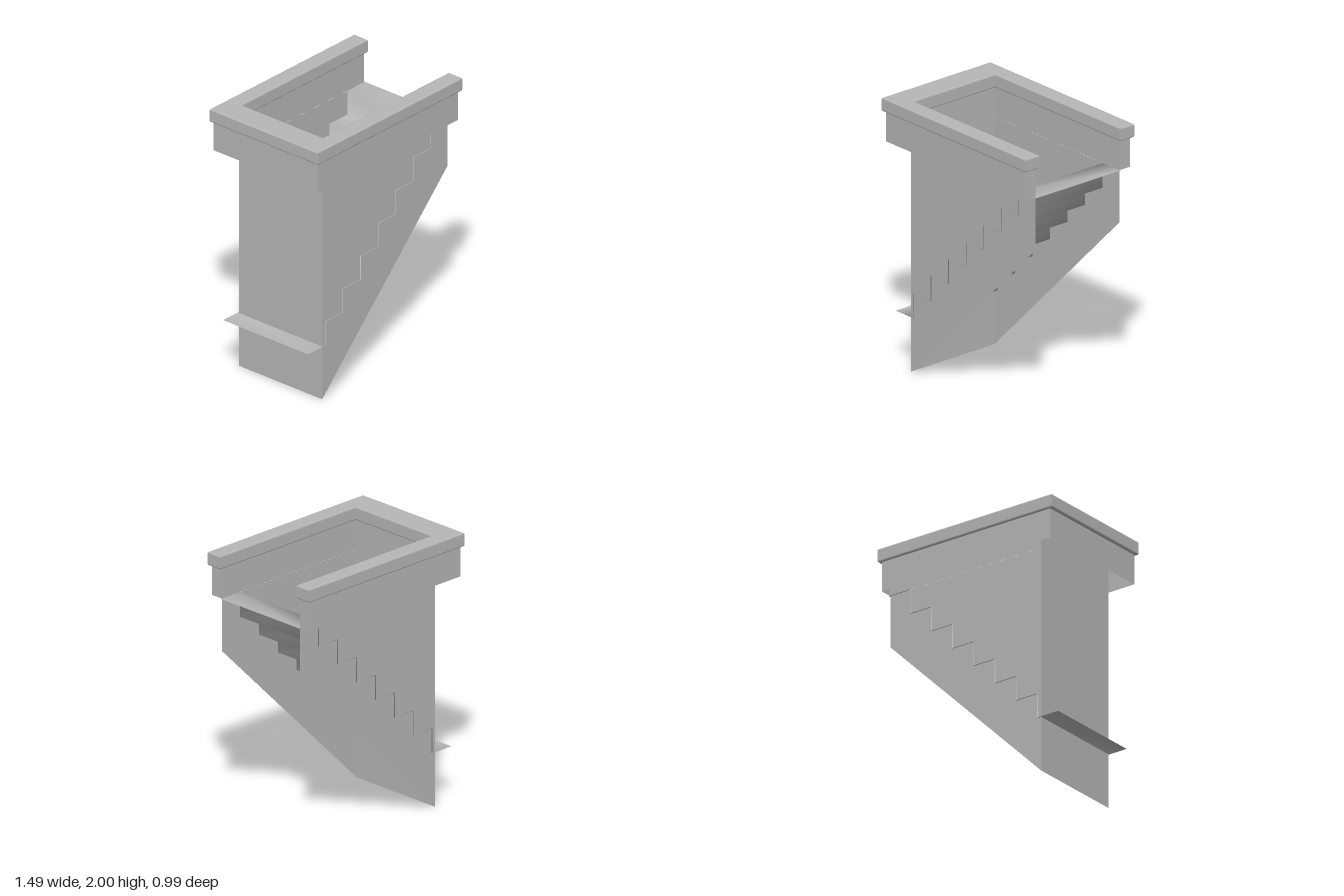
import * as THREE from 'three';

const stone = new THREE.MeshStandardMaterial({ color: 0xb6b6b6, side: THREE.DoubleSide });
stone.name = 'grey stone';

// U-shaped outline, open towards +x
function uOutline(x0, x1, zOut, xIn, zIn) {
  return [[x0, -zOut], [x1, -zOut], [x1, -zIn], [xIn, -zIn], [xIn, zIn], [x1, zIn], [x1, zOut], [x0, zOut]];
}

function polygon(points) {
  return new THREE.Shape(points.map(([x, y]) => new THREE.Vector2(x, y)));
}

function quadStrip(pairs) {
  const pos = [], index = [];
  pairs.forEach(([a, b], i) => {
    pos.push(...a, ...b);
    if (i) {
      const k = 2 * i;
      index.push(k - 2, k - 1, k, k, k - 1, k + 1);
    }
  });
  const g = new THREE.BufferGeometry();
  g.setAttribute('position', new THREE.Float32BufferAttribute(pos, 3));
  g.setIndex(index);
  return g;
}

export function createModel() {
  const group = new THREE.Group();
  const add = (name, geometry) => {
    const mesh = new THREE.Mesh(geometry, stone);
    mesh.name = name;
    group.add(mesh);
    return mesh;
  };

  // Thin side walls with a sloping lower edge
  const wall = polygon([[-0.575, 0], [0.72, 1.295], [0.72, 1.68], [-0.575, 1.68]]);
  for (const side of [1, -1]) {
    const g = new THREE.ShapeGeometry(wall);
    if (side < 0) g.rotateY(Math.PI).scale(-1, 1, 1).scale(1, 1, 1);
    // keep the faces turned outwards after mirroring
    if (side < 0) {
      const ix = g.index.array;
      for (let i = 0; i < ix.length; i += 3) [ix[i], ix[i + 1]] = [ix[i + 1], ix[i]];
      g.computeVertexNormals();
    }
    add(side > 0 ? 'frontWall' : 'backWall', g).position.z = 0.38 * side;
  }

  // End wall at the foot of the stairs
  const end = new THREE.PlaneGeometry(0.76, 1.68).rotateY(-Math.PI / 2);
  add('endWall', end).position.set(-0.575, 0.84, 0);

  // Folded stair sheet: eight treads, seven risers, softly shaded
  const profile = [];
  for (let i = 0; i < 8; i++) {
    const y = 0.405 + i * 0.182;
    const x = -0.727 + i * 0.1818;
    profile.push([x, y], [x + 0.1818, y]);
  }
  const stairs = quadStrip(profile.map(([x, y]) => [[x, y, -0.389], [x, y, 0.385]]));
  stairs.computeVertexNormals();
  add('stairs', stairs);

  // Hollow curb, open underneath
  const loop = uOutline(-0.725, 0.72, 0.476, -0.575, 0.381);
  loop.push(loop[0]);
  const curb = quadStrip(loop.map(([x, z]) => [[x, 1.68, z], [x, 1.9, z]])).toNonIndexed();
  curb.computeVertexNormals();
  add('curb', curb);

  // Coping with softened edges
  const bevel = 0.01;
  const coping = new THREE.ExtrudeGeometry(polygon(uOutline(-0.748, 0.745, 0.493, -0.555, 0.369)), {
    depth: 0.1 - 2 * bevel, bevelEnabled: true, bevelThickness: bevel,
    bevelSize: bevel, bevelOffset: -bevel, bevelSegments: 2,
  });
  coping.rotateX(-Math.PI / 2);
  add('coping', coping).position.y = 1.9 + bevel;

  return group;
}
